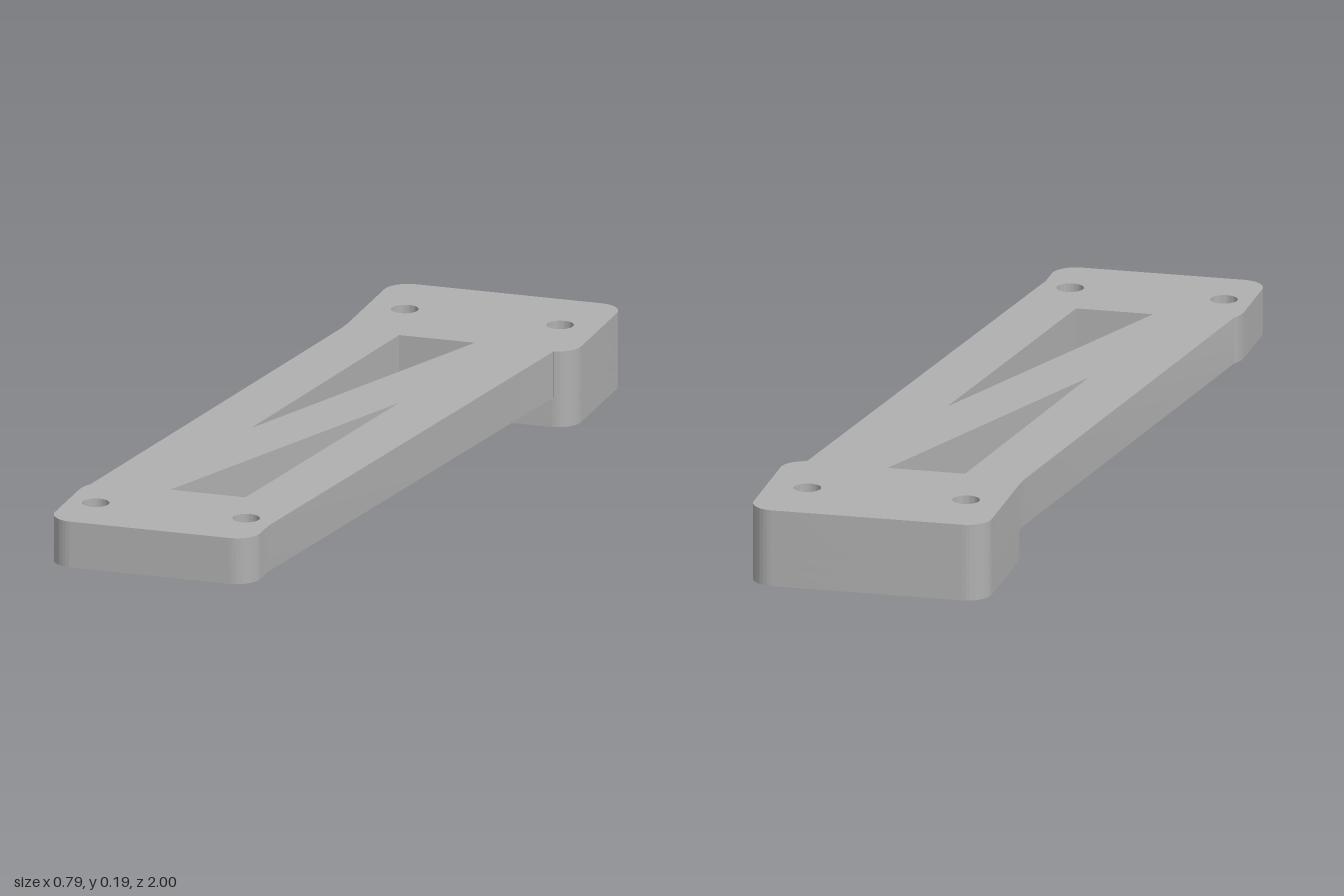
import * as THREE from 'three';
import { toCreasedNormals } from 'three/addons/utils/BufferGeometryUtils.js';

const HOLE_R = 0.033, BORE_R = 0.062, CORNER = 0.06;
const BORE_TOP = 0.04, PLATE_Y = 0.075, TOP = 0.19;
const backHoles = [[-0.095, -0.81], [0.295, -0.81]];
const frontHoles = [[-0.325, 0.842], [0.053, 0.842]];

// Shapes are drawn in (x, -z), so that extruding and tipping them gives y up
function addHoles(shape, centres, r) {
  for (const [x, z] of centres) {
    shape.holes.push(new THREE.Path().absarc(x, -z, r, 0, Math.PI * 2, true));
  }
}

function addCutout(shape, points) {
  shape.holes.push(new THREE.Path(points.map(([x, z]) => new THREE.Vector2(x, -z))));
}

function slab(name, shape, y0, y1, material) {
  let geo = new THREE.ExtrudeGeometry(shape, { depth: y1 - y0, bevelEnabled: false, curveSegments: 20 });
  geo.rotateX(-Math.PI / 2);
  geo.translate(0, y0, 0);
  geo = toCreasedNormals(geo, 0.45);
  const mesh = new THREE.Mesh(geo, material);
  mesh.name = name;
  return mesh;
}

// Rounded rectangle of the thick mounting block
function blockShape() {
  const x0 = -0.19, x1 = 0.395, y0 = 0.61, y1 = 1, r = CORNER, q = Math.PI / 2;
  const s = new THREE.Shape();
  s.moveTo(x0 + r, y0);
  s.absarc(x1 - r, y0 + r, r, -q, 0, false);
  s.absarc(x1 - r, y1 - r, r, 0, q, false);
  s.absarc(x0 + r, y1 - r, r, q, 2 * q, false);
  s.absarc(x0 + r, y0 + r, r, 2 * q, 3 * q, false);
  return s;
}

// Outline of the whole upper plate: block end, slanted arm, front end
function plateShape() {
  const r = CORNER, q = Math.PI / 2;
  const s = new THREE.Shape();
  s.moveTo(-0.395 + r, -1);
  s.absarc(0.122 - r, -1 + r, r, -q, 0, false);
  s.lineTo(0.122, -0.88);
  s.lineTo(0.345, 0.611);
  s.absarc(0.395 - r, 0.61 + r, r, -q + 0.17, 0, false);
  s.absarc(0.395 - r, 1 - r, r, 0, q, false);
  s.absarc(-0.19 + r, 1 - r, r, q, 2 * q, false);
  s.lineTo(-0.19, 0.66);
  s.lineTo(-0.193, 0.62);
  s.lineTo(-0.382, -0.71);
  s.quadraticCurveTo(-0.395, -0.73, -0.395, -0.765);
  s.absarc(-0.395 + r, -1 + r, r, 2 * q, 3 * q, false);
  return s;
}

export function createModel() {
  const grey = new THREE.MeshStandardMaterial({ color: 0xb0b0b0 });
  grey.name = 'grey';
  const model = new THREE.Group();
  model.name = 'offsetBracket';

  // Upper plate with screw holes and two triangular cutouts leaving a diagonal web
  const plate = plateShape();
  addHoles(plate, [...backHoles, ...frontHoles], HOLE_R);
  addCutout(plate, [[-0.045, -0.615], [0.145, -0.615], [-0.155, 0.18]]);
  addCutout(plate, [[0.12, -0.12], [0.001, 0.69], [-0.188, 0.69]]);
  model.add(slab('armPlate', plate, PLATE_Y, TOP, grey));

  // Lower part of the mounting block, counterbored from below
  const block = blockShape();
  addHoles(block, backHoles, HOLE_R);
  model.add(slab('mountingBlock', block, BORE_TOP, PLATE_Y, grey));

  const base = blockShape();
  addHoles(base, backHoles, BORE_R);
  model.add(slab('counterboredBase', base, 0, BORE_TOP, grey));

  return model;
}
